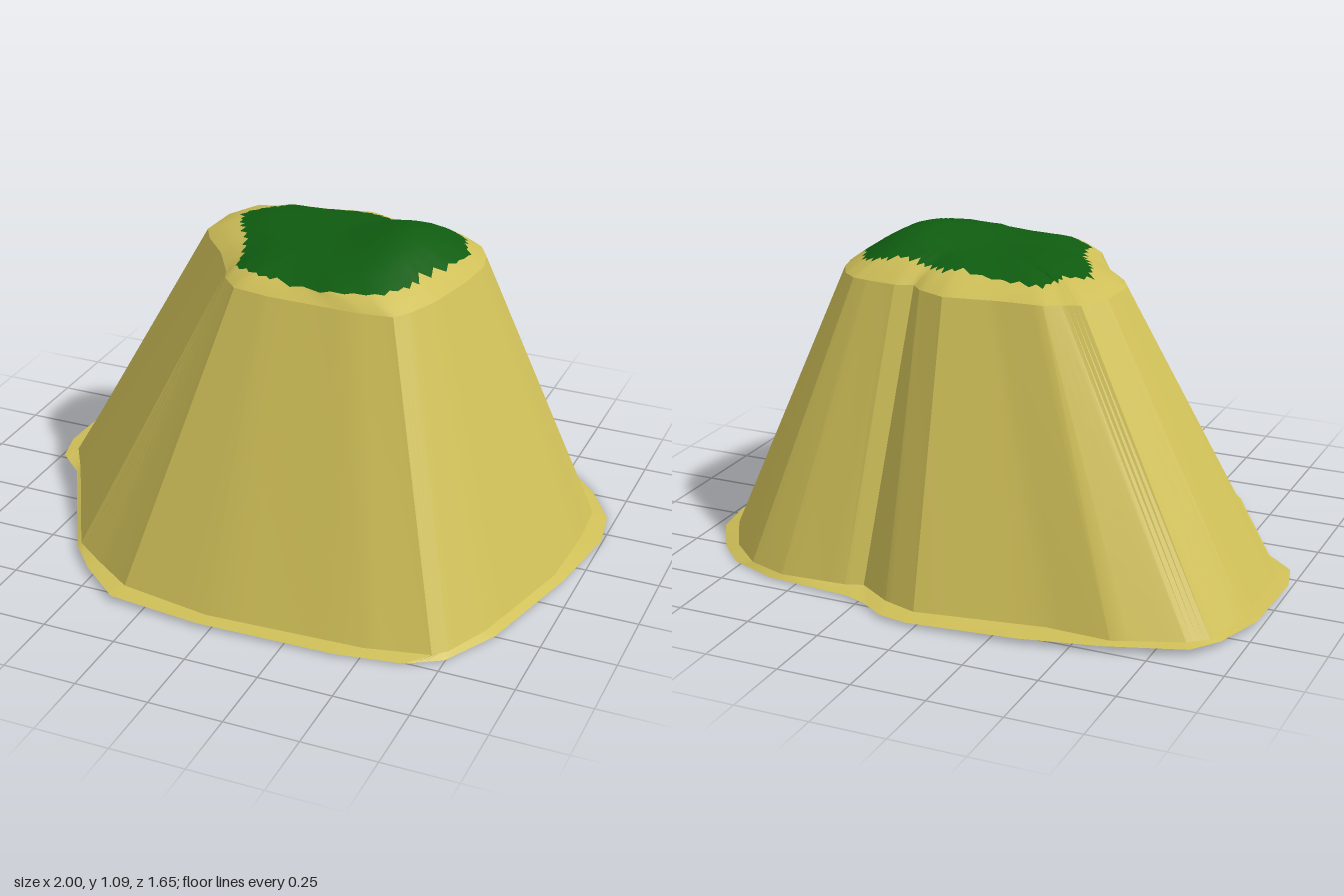
import * as THREE from 'three';
import { toCreasedNormals } from 'three/addons/utils/BufferGeometryUtils.js';

// Matching plan outlines (x, z pairs), running from +x towards -z
const SKIRT = [.995, -.2, .97, -.36, .87, -.52, .77, -.62, .6, -.69, .3, -.72, .22, -.75, .13, -.81, .03, -.83,
  -.34, -.8, -.6, -.75, -.86, -.67, -.93, -.58, -.99, -.4, -1, -.1, -.97, .02, -.87, .11, -.62, .56,
  -.52, .67, -.37, .79, -.05, .82, .42, .8, .64, .76, .75, .69, .85, .5, .95, .1];
const BASE = [.93, -.17, .92, -.35, .82, -.52, .7, -.63, .56, -.68, .33, -.67, .27, -.65, .15, -.73, .03, -.77,
  -.4, -.71, -.62, -.72, -.84, -.64, -.9, -.59, -.95, -.4, -.95, -.1, -.94, -.03, -.86, .1, -.61, .55,
  -.5, .63, -.35, .73, -.03, .78, .5, .75, .71, .7, .75, .66, .82, .5, .92, .1];
const BROW = [.55, -.16, .53, -.24, .49, -.31, .44, -.35, .38, -.36, .28, -.37, .22, -.35, .18, -.39, .08, -.43,
  -.1, -.4, -.25, -.39, -.3, -.36, -.36, -.34, -.41, -.24, -.42, -.09, -.38, -.02, -.29, .08, -.21, .21,
  -.19, .26, -.13, .32, 0, .34, .3, .345, .42, .33, .46, .27, .5, .17, .54, -.02];
const GRASS = [.5, -.14, .47, -.21, .44, -.27, .38, -.29, .32, -.28, .24, -.28, .19, -.29, .14, -.31, .07, -.31,
  -.08, -.32, -.2, -.32, -.24, -.27, -.26, -.24, -.32, -.18, -.3, -.1, -.26, -.04, -.22, .04, -.18, .14,
  -.17, .22, -.08, .27, 0, .28, .2, .31, .35, .29, .41, .21, .43, .12, .48, -.02];
const SUB = 4;
const CENTRE = new THREE.Vector2(0.1, -0.03);

// Subdivide an outline evenly between its points
function outline(flat) {
  const n = flat.length / 2, out = [];
  for (let i = 0; i < n; i++) {
    const j = (i + 1) % n;
    const a = new THREE.Vector2(flat[2 * i], flat[2 * i + 1]);
    const b = new THREE.Vector2(flat[2 * j], flat[2 * j + 1]);
    for (let s = 0; s < SUB; s++) out.push(a.clone().lerp(b, s / SUB));
  }
  return out;
}

const raise = (loop, height) => loop.map((p, i) => new THREE.Vector3(p.x, height(p, i), p.y));

// Skin a stack of rings, outermost first
function loft(rings, crease) {
  const n = rings[0].length, pos = [], index = [];
  rings.forEach((ring) => ring.forEach((p) => pos.push(p.x, p.y, p.z)));
  for (let r = 0; r < rings.length - 1; r++) {
    const closing = rings[r + 1][0].distanceTo(rings[r + 1][n >> 1]) < 1e-6;
    for (let i = 0; i < n; i++) {
      const j = (i + 1) % n, a = r * n + i, b = r * n + j;
      index.push(a, b, a + n);
      if (!closing) index.push(b, b + n, a + n);
    }
  }
  const g = new THREE.BufferGeometry();
  g.setAttribute('position', new THREE.Float32BufferAttribute(pos, 3));
  g.setIndex(index);
  return toCreasedNormals(g, crease);
}

export function createModel() {
  const group = new THREE.Group();
  const sand = new THREE.MeshStandardMaterial({ color: 0xcfbf58, side: THREE.DoubleSide });
  const green = new THREE.MeshStandardMaterial({ color: 0x0f5c10, side: THREE.DoubleSide });
  const add = (name, rings, material, crease) => {
    const mesh = new THREE.Mesh(loft(rings, crease), material);
    mesh.name = name;
    group.add(mesh);
  };

  const brow = outline(BROW);
  // Domed summit with a knoll towards +x, falling off to the brow
  const summit = (p, i) => {
    const t = Math.min(1, p.distanceTo(CENTRE) / brow[i].distanceTo(CENTRE));
    const knoll = 0.06 * Math.exp(-((p.x - 0.34) ** 2) / 0.03 - ((p.y + 0.05) ** 2) / 0.06);
    return 0.965 + (0.075 + knoll) * (1 - t ** 4);
  };

  // Ragged grass edge
  let seed = 7;
  const rand = () => (seed = (seed * 16807) % 2147483647) / 2147483647;
  const edge = outline(GRASS).map((p, i) => p.lerp(brow[i], (i % 2 ? 0.25 : -0.15) * rand()));
  const between = (k) => edge.map((p, i) => p.clone().lerp(brow[i], k));
  const inward = (k) => edge.map((p) => p.clone().lerp(CENTRE, k));

  const skirtRing = raise(outline(SKIRT), (p) => 0.0125 - 0.0125 * p.x);
  const baseRing = raise(outline(BASE), (p) => 0.024 - 0.008 * p.x);
  const browRing = raise(brow, () => 0.965);

  add('skirt', [skirtRing, baseRing], sand, 0.4);
  add('cliffWall', [baseRing, browRing], sand, 0.3);
  add('shoulder', [1, 0.66, 0.33, 0].map((k) => raise(between(k), summit)), sand, 0.8);
  add('grassTop', [0, 0.15, 0.3, 0.45, 0.6, 0.8, 1].map((k) => raise(inward(k), summit)), green, 0.8);
  return group;
}
